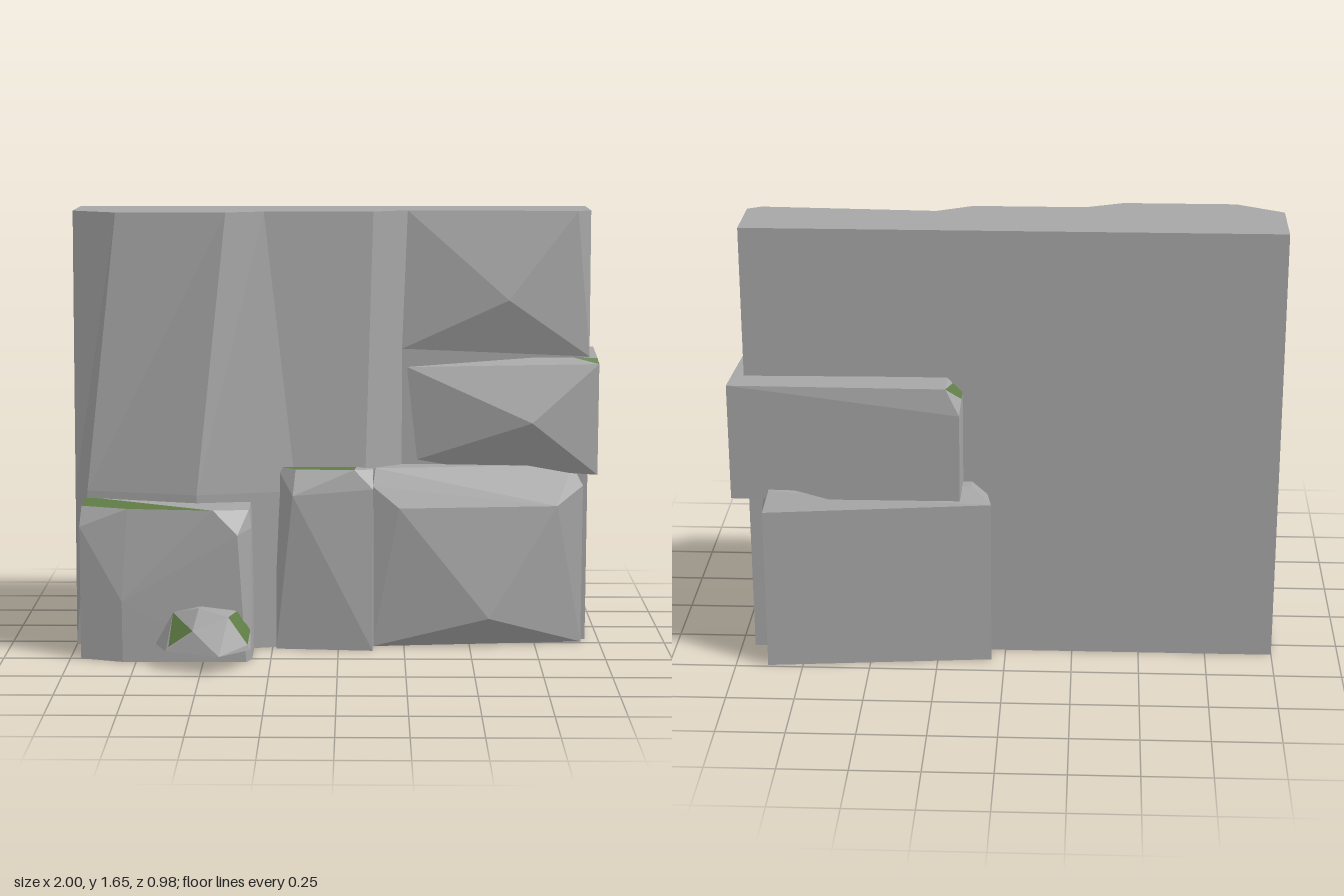
import * as THREE from 'three';
import { ConvexGeometry } from 'three/addons/geometries/ConvexGeometry.js';

const stone = new THREE.MeshStandardMaterial({ color: 0xa6a6a6 });
stone.name = 'grey stone';
const moss = new THREE.MeshStandardMaterial({ color: 0x5f7c45 });
moss.name = 'green moss';

// Flat-faced mesh from triangles; each triangle is three Vector3 plus a moss flag
function facetMesh(name, triangles) {
  const sorted = [...triangles.filter(t => !t.mossy), ...triangles.filter(t => t.mossy)];
  const plain = triangles.filter(t => !t.mossy).length * 3;
  const geometry = new THREE.BufferGeometry().setFromPoints(sorted.flatMap(t => t.corners));
  geometry.computeVertexNormals();
  geometry.addGroup(0, plain, 0);
  geometry.addGroup(plain, sorted.length * 3 - plain, 1);
  const mesh = new THREE.Mesh(geometry, [stone, moss]);
  mesh.name = name;
  return mesh;
}

// Convex boulder; a 4th value on a point is a moss patch id, and
// faces whose corners all share one id turn green
function boulder(name, points) {
  const vectors = points.map(p => new THREE.Vector3(p[0], p[1], p[2]));
  const position = new ConvexGeometry(vectors).attributes.position;
  const patchOf = v => points[vectors.findIndex(p => p.distanceTo(v) < 1e-4)]?.[3];
  const triangles = [];
  for (let i = 0; i < position.count; i += 3) {
    const corners = [0, 1, 2].map(k => new THREE.Vector3().fromBufferAttribute(position, i + k));
    const ids = corners.map(patchOf);
    triangles.push({ corners, mossy: !!ids[0] && ids[0] === ids[1] && ids[1] === ids[2] });
  }
  return facetMesh(name, triangles);
}

// Slab with a faceted, slightly sloping front
function cliffWall() {
  const H = 1.65, back = -0.33;
  const row = (y, pts) => pts.map(([x, z]) => [x, y, z]);
  const top = row(H, [[-1, -0.06], [-0.83, 0.04], [-0.42, 0.04], [-0.28, -0.02], [0.13, -0.02], [0.26, -0.09]]);
  const mid = row(0.6, [[-1, 0.005], [-0.95, 0.045], [-0.53, 0.14], [-0.16, 0.05], [0.1, 0.05], [0.24, -0.05]]);
  const low = row(0, [[-1, 0.04], [-0.95, 0.05], [-0.54, 0.14], [-0.16, 0.06], [0.1, 0.05], [0.24, -0.05]]);
  const polygons = [];
  for (let i = 0; i < 5; i++) {
    polygons.push([mid[i], mid[i + 1], top[i + 1], top[i]]);
    polygons.push([low[i], low[i + 1], mid[i + 1], mid[i]]);
  }
  // Bulging panel at the upper right
  const peak = [0.64, 1.32, 0.01], innerLow = [0.24, 1.13, -0.05], outerLow = [0.95, 1.1, -0.06];
  const ridge = [0.9, H, -0.06], corner = [0.95, H, -0.09], outerBase = [0.95, 0, -0.06];
  polygons.push([peak, top[5], innerLow], [peak, innerLow, outerLow], [peak, outerLow, ridge], [peak, ridge, top[5]]);
  polygons.push([outerLow, corner, ridge], [innerLow, mid[5], low[5], outerBase, outerLow]);
  polygons.push([top[5], mid[5], innerLow]);
  // Top, base, back and ends
  const bl = [-1, 0, back], br = [0.95, 0, back], tl = [-1, H, back], tr = [0.95, H, back];
  polygons.push([[0, H, back], tl, ...top, ridge, corner, tr]);
  polygons.push([[0, 0, back], br, outerBase, ...low.slice().reverse(), bl]);
  polygons.push([br, bl, tl, tr], [bl, low[0], mid[0], top[0], tl], [br, tr, corner, outerLow, outerBase]);
  const triangles = [];
  for (const p of polygons) {
    for (let i = 1; i < p.length - 1; i++) {
      triangles.push({ corners: [p[0], p[i], p[i + 1]].map(c => new THREE.Vector3(...c)), mossy: false });
    }
  }
  return facetMesh('cliffWall', triangles);
}

export function createModel() {
  const group = new THREE.Group();
  group.name = 'rockCliff';
  group.add(cliffWall());

  group.add(boulder('rightLedgeBlock', [
    // base
    [-0.96, 0, 0], [-0.96, 0, 0.25], [-0.8, 0, 0.3], [-0.34, 0, 0.3], [-0.32, 0, 0.25], [-0.32, 0, 0],
    // front bulge
    [-0.8, 0.23, 0.302], [-0.96, 0.5, 0.24], [-0.37, 0.48, 0.3], [-0.32, 0.5, 0.25],
    // top with moss
    [-0.955, 0.572, 0.03, 1], [-0.955, 0.572, 0.2, 1], [-0.78, 0.572, 0.26, 1], [-0.46, 0.572, 0.29, 1],
    [-0.33, 0.565, 0.24], [-0.33, 0.565, 0],
  ]));

  group.add(boulder('smallRock', [
    // base
    [-0.68, 0.07, 0.29], [-0.63, 0.07, 0.41], [-0.43, 0.07, 0.49], [-0.32, 0.07, 0.385], [-0.32, 0.07, 0.28],
    // mossy sides
    [-0.61, 0.19, 0.3, 1], [-0.53, 0.215, 0.33, 1], [-0.53, 0.15, 0.425, 1], [-0.62, 0.085, 0.405, 1],
    [-0.4, 0.195, 0.395, 2], [-0.37, 0.195, 0.29, 2], [-0.33, 0.09, 0.39, 2], [-0.325, 0.12, 0.29, 2],
    // crown
    [-0.51, 0.22, 0.36], [-0.5, 0.21, 0.28],
  ]));

  group.add(boulder('middleBlock', [
    // base
    [-0.24, 0, -0.05], [-0.235, 0, 0.1], [0.13, 0, 0.13], [0.14, 0, -0.05],
    // front ridge
    [-0.17, 0.6, 0.15], [0.13, 0.62, 0.12],
    // top with moss
    [-0.235, 0.692, 0.03, 1], [-0.16, 0.692, 0.1, 1], [0.06, 0.692, 0.11, 1], [0.07, 0.692, 0.03, 1],
    [0.13, 0.685, 0.06], [0.13, 0.685, -0.05], [-0.235, 0.685, -0.05],
  ]));

  group.add(boulder('leftLowerBlock', [
    // base
    [0.13, 0, 0.06], [0.93, 0, -0.02], [0.88, 0, -0.49], [0.05, 0, -0.41],
    // front bulge
    [0.57, 0.12, 0.11], [0.23, 0.54, 0.085], [0.83, 0.54, 0.03], [0.13, 0.62, 0.06], [0.93, 0.61, -0.02],
    // chamfered top
    [0.14, 0.685, 0.03], [0.89, 0.685, -0.05], [0.86, 0.69, -0.45], [0.12, 0.69, -0.38],
    [0.88, 0.62, -0.49], [0.05, 0.63, -0.41],
  ]));

  group.add(boulder('leftUpperBlock', [
    // front
    [0.26, 0.69, -0.06], [0.26, 1.06, -0.05], [0.73, 0.86, 0.05], [0.985, 0.65, -0.03],
    // mossy front corner
    [0.98, 1.095, -0.055, 2], [0.985, 1.075, -0.03, 2], [0.89, 1.097, -0.05, 2],
    // top
    [0.27, 1.075, -0.08], [0.5, 1.097, -0.07],
    // mossy rear corner
    [0.155, 1.04, -0.33, 1], [0.155, 1.04, -0.4, 1], [0.21, 1.095, -0.45, 1], [0.19, 1.075, -0.33, 1],
    // back
    [0.21, 1.095, -0.33], [0.16, 1, -0.47], [0.16, 0.67, -0.47], [0.155, 0.68, -0.33],
    [1, 1.09, -0.43], [1, 0.65, -0.43],
  ]));
  return group;
}
